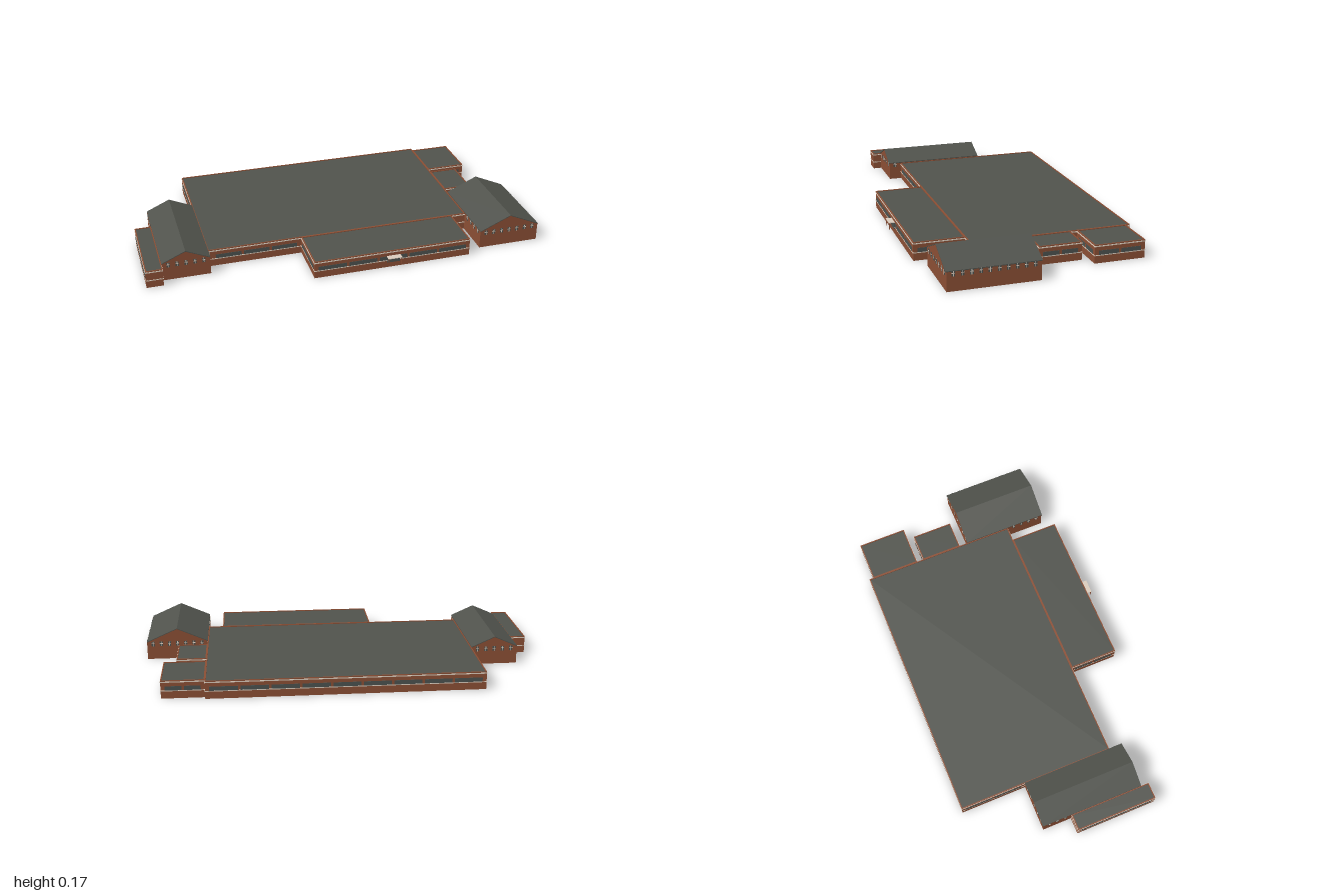
import * as THREE from 'three';
import { mergeGeometries } from 'three/addons/utils/BufferGeometryUtils.js';

const mat = (name, color) => Object.assign(new THREE.MeshStandardMaterial({ color }), { name });
const brick = mat('brick', 0x8a4e34);
const roofing = mat('roofing', 0x50524c);
const glass = mat('glass', 0x4b514e);
const trim = mat('pale trim', 0xd8cabb);

// Box given by its limits
function box(x0, x1, y0, y1, z0, z1) {
  return new THREE.BoxGeometry(x1 - x0, y1 - y0, z1 - z0)
    .translate((x0 + x1) / 2, (y0 + y1) / 2, (z0 + z1) / 2);
}

// Four thin walls around a rectangle, open above and below
function ring([x0, x1, z0, z1], y0, y1, t, out = 0) {
  x0 -= out; x1 += out; z0 -= out; z1 += out;
  return [
    box(x0, x1, y0, y1, z1 - t, z1), box(x0, x1, y0, y1, z0, z0 + t),
    box(x0, x0 + t, y0, y1, z0 + t, z1 - t), box(x1 - t, x1, y0, y1, z0 + t, z1 - t),
  ];
}

function add(group, name, geometries, material) {
  if (!geometries.length) return;
  const mesh = new THREE.Mesh(mergeGeometries(geometries), material);
  mesh.name = name;
  group.add(mesh);
}

// Thin plate on one side of a rectangle, from a to b along that side
function plate([x0, x1, z0, z1], side, a, b, y0, y1, d) {
  if (side === 'front') return box(a, b, y0, y1, z1, z1 + d);
  if (side === 'back') return box(a, b, y0, y1, z0 - d, z0);
  if (side === 'left') return box(x1, x1 + d, y0, y1, a, b);
  return box(x0 - d, x0, y0, y1, a, b);
}

// Flat-roofed block: parapet walls, roof, two bands and strip windows
function flatBlock(name, rect, runs) {
  const g = new THREE.Group();
  g.name = name;
  const [x0, x1, z0, z1] = rect, t = 0.005;
  add(g, 'walls', ring(rect, 0, 0.091, t), brick);
  add(g, 'flatRoof', [box(x0 + t, x1 - t, 0.084, 0.087, z0 + t, z1 - t)], roofing);
  add(g, 'bands', [...ring(rect, 0.037, 0.041, 0.003, 0.002), ...ring(rect, 0.081, 0.086, 0.003, 0.002)], trim);
  const panes = [];
  for (const [side, a, b] of runs) {
    const n = Math.max(2, Math.round((b - a) / 0.155));
    const step = (b - a - 0.028) / n;
    for (let i = 0; i < n; i++) {
      const s = a + 0.014 + i * step;
      panes.push(plate(rect, side, s + 0.006, s + step - 0.006, 0.041, 0.062, 0.0015));
    }
  }
  add(g, 'stripWindows', panes, glass);
  return g;
}

// Gabled hall: brick shell, pitched roof and small tall windows
function gableHall(name, rect, ridge, runs) {
  const g = new THREE.Group();
  g.name = name;
  const [x0, x1, z0, z1] = rect, eave = 0.096, t = 0.004, mid = (x0 + x1) / 2;
  const gable = new THREE.Shape([[x0, eave - t], [x1, eave - t], [mid, ridge - t]]
    .map(([x, y]) => new THREE.Vector2(x, y)));
  const ends = [z0, z1 - t].map((z) =>
    new THREE.ExtrudeGeometry(gable, { depth: t, bevelEnabled: false }).translate(0, 0, z));
  add(g, 'walls', ring(rect, 0, eave - t, t), brick);
  add(g, 'gableEnds', ends, brick);
  const chevron = new THREE.Shape([[x0, eave - t], [mid, ridge - t], [x1, eave - t],
    [x1, eave], [mid, ridge], [x0, eave]].map(([x, y]) => new THREE.Vector2(x, y)));
  add(g, 'pitchedRoof', [new THREE.ExtrudeGeometry(chevron,
    { depth: z1 - z0 + 0.008, bevelEnabled: false }).translate(0, 0, z0 - 0.004)], roofing);
  const panes = [], bars = [];
  for (const [side, a, b] of runs) {
    const n = Math.max(1, Math.round((b - a) / 0.046));
    const step = (b - a - 0.02) / n;
    for (let i = 0; i < n; i++) {
      const c = a + 0.01 + (i + 0.5) * step;
      panes.push(plate(rect, side, c - 0.008, c + 0.008, 0.07, 0.095, 0.0015));
      bars.push(plate(rect, side, c - 0.0015, c + 0.0015, 0.07, 0.095, 0.0025));
      bars.push(plate(rect, side, c - 0.008, c + 0.008, 0.083, 0.086, 0.0025));
    }
  }
  add(g, 'tallWindows', panes, glass);
  add(g, 'windowBars', bars, trim);
  return g;
}

export function createModel() {
  const model = new THREE.Group();
  model.name = 'building';

  model.add(
    flatBlock('mainHall', [-0.678, 0.682, -0.545, 0.265], [
      ['front', -0.66, -0.205], ['back', -0.678, 0.682], ['right', -0.545, -0.205]]),
    flatBlock('frontWing', [-0.203, 0.605, 0.265, 0.515], [
      ['front', -0.203, 0.605], ['left', 0.265, 0.515], ['right', 0.265, 0.515]]),
    flatBlock('backLeftWing', [0.682, 0.892, -0.523, -0.27], [
      ['front', 0.682, 0.892], ['back', 0.682, 0.892], ['left', -0.523, -0.27]]),
    flatBlock('smallLeftWing', [0.682, 0.83, -0.233, -0.02], [
      ['back', 0.682, 0.83], ['left', -0.233, -0.02]]),
    flatBlock('rightWing', [-0.998, -0.915, -0.048, 0.375], [['right', -0.048, 0.375]]),
    gableHall('leftHall', [0.682, 0.998, 0.03, 0.468], 0.166, [
      ['front', 0.682, 0.998], ['back', 0.682, 0.998],
      ['left', 0.03, 0.468], ['right', 0.27, 0.468]]),
    gableHall('rightHall', [-0.915, -0.677, -0.2, 0.33], 0.149, [
      ['front', -0.915, -0.677], ['back', -0.915, -0.677],
      ['right', -0.2, -0.05], ['left', 0.268, 0.33]]),
  );

  // Entrance in the front wing with a canopy on two thin posts
  const entrance = new THREE.Group();
  entrance.name = 'entrance';
  add(entrance, 'canopy', [box(0.165, 0.236, 0.061, 0.064, 0.515, 0.545)], trim);
  add(entrance, 'canopyPosts', [0.166, 0.232].map((x) => box(x, x + 0.003, 0.027, 0.061, 0.54, 0.543)), brick);
  add(entrance, 'doors', [box(0.168, 0.233, 0.027, 0.061, 0.515, 0.518)], glass);
  model.add(entrance);
  return model;
}
